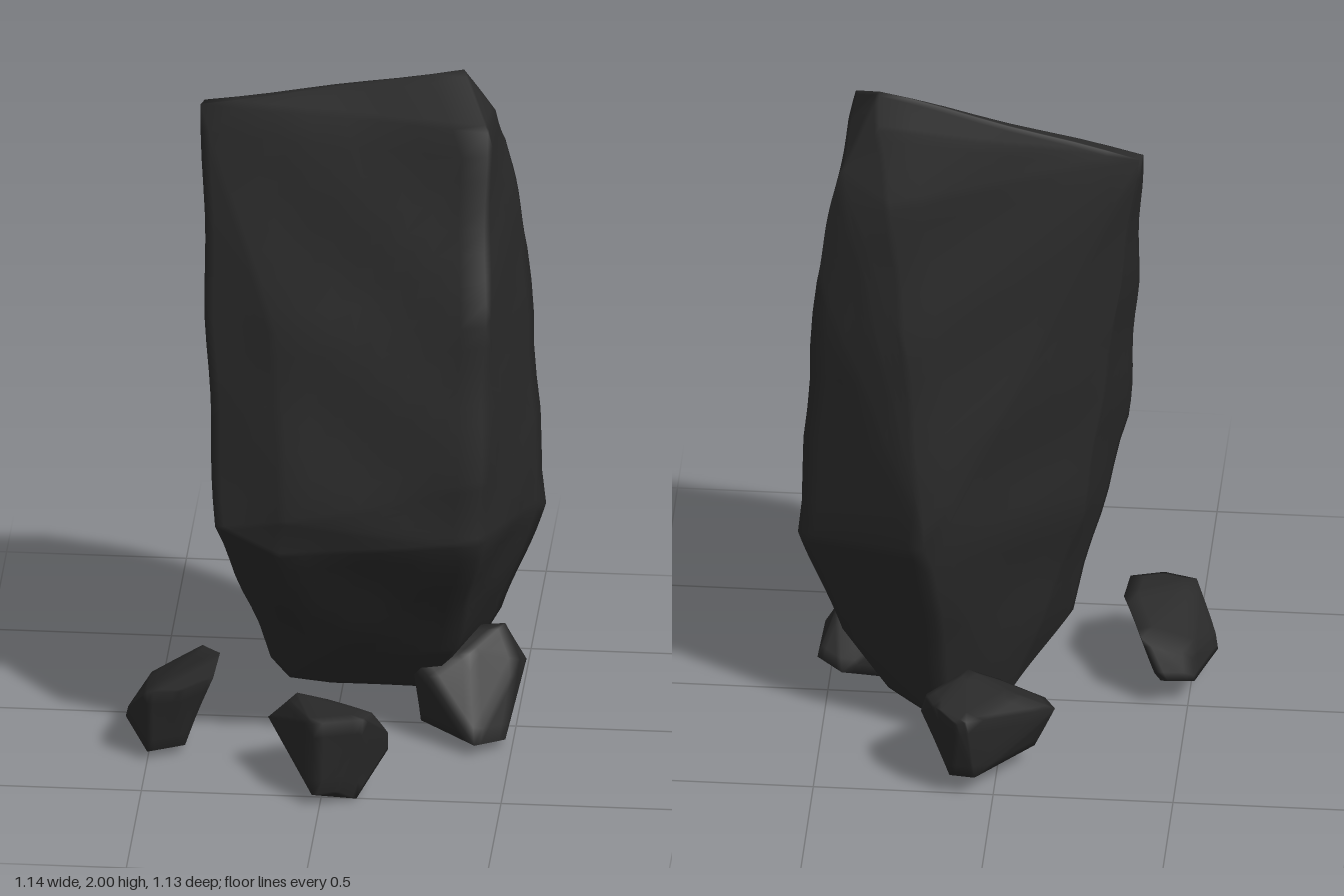
import * as THREE from 'three';
import { mergeVertices } from 'three/addons/utils/BufferGeometryUtils.js';
import { ConvexGeometry } from 'three/addons/geometries/ConvexGeometry.js';

const stone = new THREE.MeshStandardMaterial({ color: 0x292929 });
stone.name = 'dark stone';

// Hull of the corner points, each facet split n times, slightly roughened,
// with smooth normals so the edges look worn.
function rock(name, corners, n, roughness) {
  const hull = new ConvexGeometry(corners.map((c) => new THREE.Vector3(...c)));
  const src = hull.getAttribute('position');
  const out = [];
  const a = new THREE.Vector3(), b = new THREE.Vector3(), c = new THREE.Vector3();
  for (let f = 0; f < src.count; f += 3) {
    a.fromBufferAttribute(src, f);
    b.fromBufferAttribute(src, f + 1);
    c.fromBufferAttribute(src, f + 2);
    const put = (i, j) => {
      const p = a.clone().multiplyScalar(n - i - j).addScaledVector(b, i).addScaledVector(c, j);
      out.push(...p.divideScalar(n).toArray());
    };
    for (let i = 0; i < n; i++) {
      for (let j = 0; j < n - i; j++) {
        put(i, j); put(i + 1, j); put(i, j + 1);
        if (i + j < n - 1) { put(i + 1, j); put(i + 1, j + 1); put(i, j + 1); }
      }
    }
  }
  let geometry = new THREE.BufferGeometry();
  geometry.setAttribute('position', new THREE.Float32BufferAttribute(out, 3));
  geometry = mergeVertices(geometry, 1e-4);

  // gentle surface unevenness
  const pos = geometry.getAttribute('position');
  for (let i = 0; i < pos.count; i++) {
    const x = pos.getX(i), y = pos.getY(i), z = pos.getZ(i);
    pos.setX(i, x + roughness * Math.sin(17 * y + 9 * z));
    pos.setZ(i, z + roughness * Math.sin(15 * y + 11 * x + 1));
  }
  geometry.computeVertexNormals();
  const mesh = new THREE.Mesh(geometry, stone);
  mesh.name = name;
  return mesh;
}

export function createModel() {
  const group = new THREE.Group();
  group.name = 'standingStone';

  // Tall slab: one row per long edge, from the foot to the top
  const edges = [
    // front edge on the -x side
    [[-0.12, 0.17, 0.08], [-0.17, 0.24, 0.1], [-0.31, 0.74, 0.325], [-0.35, 1.3, 0.15], [-0.38, 1.85, -0.06]],
    // front bulge
    [[0, 0.17, 0.11], [-0.03, 0.28, 0.19], [-0.13, 0.68, 0.39], [-0.1, 0.8, 0.405], [-0.14, 1.3, 0.255]],
    // front edge on the +x side
    [[0.26, 0.13, 0.03], [0.34, 0.31, 0.16], [0.43, 0.75, 0.42], [0.435, 0.95, 0.41], [0.44, 1.38, 0.325], [0.43, 1.89, 0.14]],
    // outer side edge
    [[0.32, 0.1, -0.12], [0.45, 0.3, -0.14], [0.57, 0.62, -0.15], [0.525, 1.42, -0.12], [0.465, 1.76, -0.1], [0.44, 1.89, -0.01]],
    // back edge up to the peak
    [[0.15, 0.04, -0.21], [0.2, 0.72, -0.385], [0.25, 1.25, -0.27], [0.31, 1.69, -0.16], [0.35, 1.9, -0.08], [0.35, 2, -0.03]],
    // rear side edge
    [[-0.02, 0.12, -0.15], [-0.22, 0.72, -0.15], [-0.3, 1.3, -0.12], [-0.37, 1.85, -0.09]],
  ];
  group.add(rock('standingSlab', edges.flat(), 8, 0.004));

  // Loose stones around the foot
  const looseStones = {
    sideStone: [
      [-0.57, 0.08, 0.18], [-0.52, 0.08, 0.01], [-0.43, 0.1, -0.025], [-0.5, 0.03, 0.3], [-0.46, 0.01, 0.22],
      [-0.31, 0.265, 0.14], [-0.32, 0.25, 0.27], [-0.41, 0.23, 0.33], [-0.5, 0.22, 0.32], [-0.37, 0.22, 0],
      [-0.51, 0.15, 0.04], [-0.4, 0.03, 0.12], [-0.4, 0.03, 0.25], [-0.56, 0.12, 0.2],
    ],
    frontStone: [
      [-0.16, 0.17, 0.34], [-0.1, 0.24, 0.39], [-0.08, 0.26, 0.37], [-0.02, 0.25, 0.55], [0.14, 0.27, 0.5],
      [0.12, 0.27, 0.55], [0.18, 0.18, 0.44], [0.18, 0.12, 0.42], [0.1, 0.005, 0.5], [0.08, 0.02, 0.28],
      [-0.02, 0.04, 0.56], [-0.03, 0.05, 0.28], [-0.1, 0.08, 0.32], [0.05, 0.05, 0.55], [0, 0.2, 0.28],
    ],
    cornerStone: [
      [0.22, 0.25, 0.09], [0.24, 0.22, -0.03], [0.27, 0.29, -0.02], [0.47, 0.31, -0.02], [0.52, 0.17, -0.09],
      [0.51, 0.22, 0.02], [0.48, 0.03, 0.14], [0.4, 0.04, 0.21], [0.24, 0.05, 0.08], [0.28, 0.2, 0.14],
      [0.38, 0.26, 0.08], [0.45, 0.14, -0.12], [0.3, 0.08, -0.04], [0.47, 0.02, 0.08],
    ],
    backStone: [
      [-0.16, 0.2, -0.35], [-0.13, 0.21, -0.31], [0, 0.26, -0.3], [-0.05, 0.27, -0.39], [0.07, 0.28, -0.565],
      [0.1, 0.27, -0.565], [0.16, 0.29, -0.51], [0.21, 0.2, -0.39], [0.15, 0.06, -0.27], [0.12, 0.07, -0.51],
      [0, 0.04, -0.27], [-0.1, 0.07, -0.34], [0.05, 0.07, -0.52], [0.19, 0.28, -0.43], [0.08, 0.31, -0.34],
    ],
  };
  for (const [name, corners] of Object.entries(looseStones)) {
    group.add(rock(name, corners, 5, 0.002));
  }
  return group;
}
